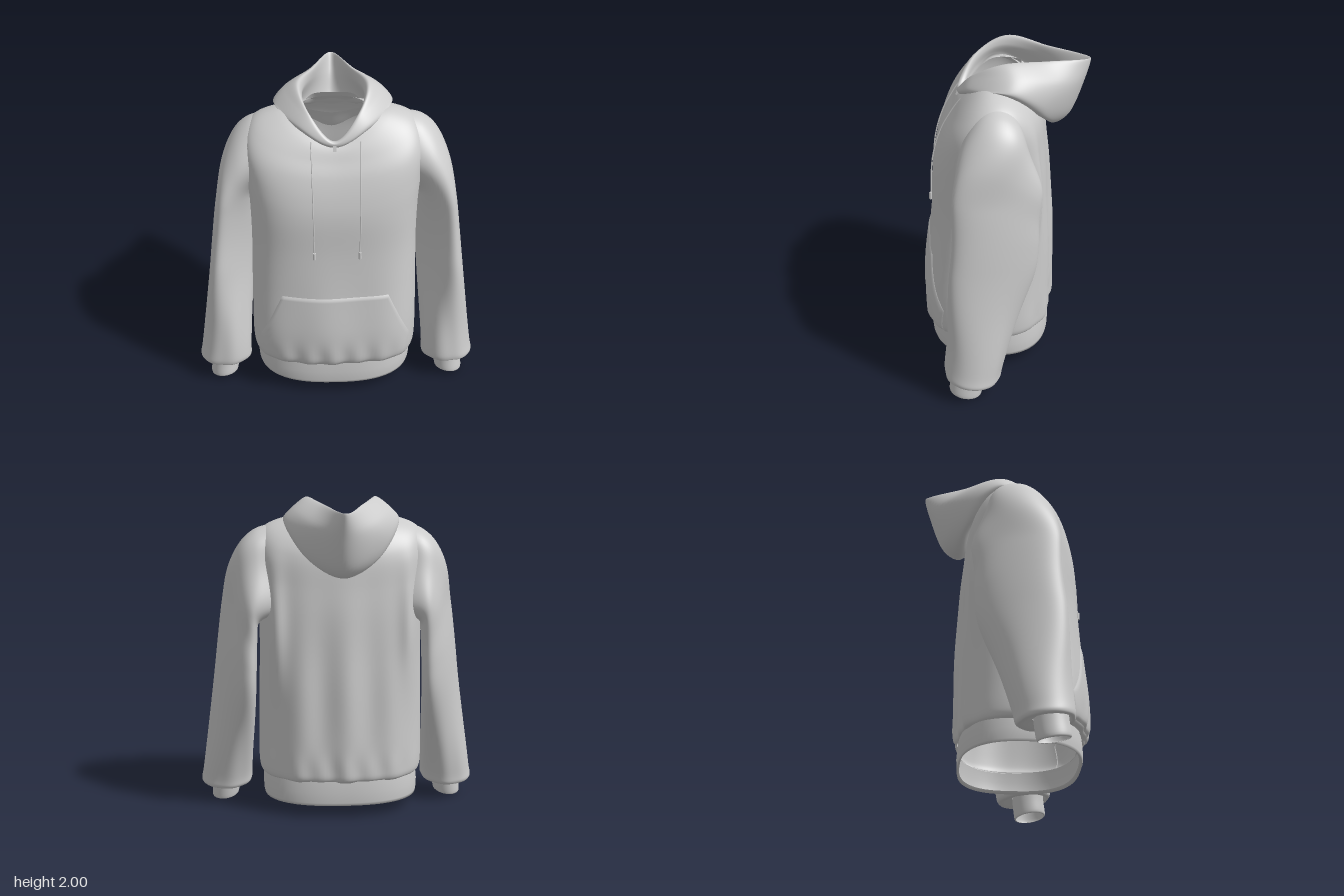
import * as THREE from 'three';

const V = (x, y, z) => new THREE.Vector3(x, y, z);
const { lerp, smoothstep, mapLinear, clamp } = THREE.MathUtils;
const material = new THREE.MeshStandardMaterial({ color: 0xcccccc, side: THREE.DoubleSide });
const spline = (pts, closed = false) =>
  new THREE.CatmullRomCurve3(pts.map((p) => V(...p)), closed, 'catmullrom', 0.5);
const bump = (x, c, s) => Math.exp(-(((x - c) / s) ** 2));
const range = (n, f) => Array.from({ length: n }, (_, i) => f(i));

function part(name, geometry) {
  const m = new THREE.Mesh(geometry, material);
  m.name = name;
  return m;
}

// Skin a list of rows of points; closed joins each row end to its start
function loft(name, rows, closed = true) {
  const n = rows[0].length, pos = [], idx = [];
  rows.forEach((r) => r.forEach((p) => pos.push(p.x, p.y, p.z)));
  for (let i = 0; i < rows.length - 1; i++) {
    for (let j = 0; j < (closed ? n : n - 1); j++) {
      const k = (j + 1) % n;
      const a = i * n + j, b = i * n + k, c = a + n, d = b + n;
      idx.push(a, c, b, b, c, d);
    }
  }
  const g = new THREE.BufferGeometry();
  g.setAttribute('position', new THREE.Float32BufferAttribute(pos, 3));
  g.setIndex(idx);
  g.computeVertexNormals();
  return part(name, g);
}

// Torso rings from hem to neck: half width, front z, back z / side y, front y, back y
const torsoSize = spline([
  [0.485, 0.455, -0.275], [0.51, 0.48, -0.295], [0.52, 0.498, -0.3], [0.52, 0.5, -0.3],
  [0.515, 0.47, -0.295], [0.51, 0.45, -0.285], [0.515, 0.44, -0.275], [0.53, 0.415, -0.26],
  [0.54, 0.37, -0.245], [0.485, 0.32, -0.22], [0.35, 0.285, -0.17], [0.2, 0.25, -0.11],
]);
const torsoHeight = spline([
  [0.23, 0.23, 0.23], [0.255, 0.255, 0.255], [0.32, 0.32, 0.32], [0.5, 0.5, 0.5],
  [0.8, 0.8, 0.8], [1.05, 1.05, 1.05], [1.3, 1.28, 1.28], [1.5, 1.42, 1.45],
  [1.69, 1.55, 1.6], [1.805, 1.64, 1.69], [1.865, 1.7, 1.79], [1.88, 1.74, 1.86],
]);
const roundness = (v, front) => lerp(front ? 3.1 : 2.5, 2, smoothstep(v, 0.65, 1));

// Soft vertical folds, gathers just above the hem, and fullness over the shoulder blades
function fold(x, y, front) {
  const gathers = 0.009 * bump(y, 0.3, 0.1) * Math.cos(x * 41 + 0.6);
  if (front) return gathers + 0.011 * bump(y, 0.5, 0.4) * Math.cos(13 * (x + 0.06));
  const blade = 0.18 * bump(Math.abs(x), 0.44, 0.07) * bump(y, 1.2, 0.35);
  return gathers + blade + 0.018 * bump(y, 0.75, 0.55) * Math.cos(21 * x + 0.5);
}

function torsoPoint(v, a) {
  const s = torsoSize.getPoint(v), h = torsoHeight.getPoint(v);
  const c = Math.cos(a), d = Math.sin(a), front = d > 0, n = roundness(v, front);
  const r = (Math.abs(c) ** n + Math.abs(d) ** n) ** (-1 / n);
  const x = s.x * c * r;
  const y = lerp(h.x, front ? h.y : h.z, d * d);
  const z = (s.y + s.z) / 2 + ((s.y - s.z) / 2) * d * r;
  return V(x, y, z + Math.sign(d) * d * d * fold(x, y, front));
}

// Point on the front of the torso at a given x and y, lifted by off
function onFront(x, y, off) {
  let lo = 0, hi = 1, p;
  for (let i = 0; i < 24; i++) {
    const v = (lo + hi) / 2, n = roundness(v, true);
    const u = Math.min(0.999, Math.abs(x) / torsoSize.getPoint(v).x);
    p = torsoPoint(v, Math.atan2((1 - u ** n) ** (1 / n), Math.sign(x) * u));
    if (p.y < y) lo = v; else hi = v;
  }
  return V(x, y, p.z + off);
}

function torso() {
  return loft('torso', range(89, (i) => range(144, (j) => torsoPoint(i / 88, (j / 144) * Math.PI * 2))));
}

// Ribbed waistband: a plain loop below the gathers
function waistband() {
  const ring = (w, zf, zb, y, tilt) => range(96, (j) => {
    const a = (j / 96) * Math.PI * 2, c = Math.cos(a), d = Math.sin(a);
    const r = (Math.abs(c) ** 2.6 + Math.abs(d) ** 2.6) ** (-1 / 2.6);
    return V(w * c * r, y + tilt * c * c, (zf + zb) / 2 + ((zf - zb) / 2) * d * r);
  });
  return loft('waistband', [
    ring(0.475, 0.445, -0.27, 0.1, 0.01), ring(0.488, 0.462, -0.283, 0.082, 0.01),
    ring(0.492, 0.468, -0.286, 0.1, 0.01), ring(0.495, 0.468, -0.288, 0.17, 0),
    ring(0.488, 0.46, -0.28, 0.24, 0),
  ]);
}

// Kangaroo pocket laid over the torso front
function pocket() {
  const rows = range(33, (i) => {
    const k = i / 32, y = 0.25 + 0.52 * k;
    const half = y < 0.42 ? mapLinear(y, 0.25, 0.42, 0.45, 0.47) : mapLinear(y, 0.42, 0.77, 0.47, 0.325);
    const lift = i === 32 || i === 0 ? -0.006 : 0.008;
    return range(43, (j) => {
      const f = clamp((j - 1) / 40, 0, 1);
      return onFront(half * (1 - 2 * f), y, j === 0 || j === 42 ? -0.006 : lift);
    });
  });
  return loft('pocket', rows, false);
}

// Tube whose rings run from an outer point (x, y, centre z) to an inner point (x, y, half depth)
function armTube(name, outer, inner, steps, tilt, shear, wrinkle) {
  const o = spline(outer), n = spline(inner);
  return loft(name, range(steps + 1, (i) => {
    const p = o.getPoint(i / steps), q = n.getPoint(i / steps);
    return range(64, (j) => {
      const a = (j / 64) * Math.PI * 2, c = Math.cos(a), d = Math.sin(a);
      const y = (p.y + q.y) / 2 + ((p.y - q.y) / 2) * c;
      const low = bump(y, 0.2, 0.35);
      const k = 1 + wrinkle * (Math.sin(3 * a + y * 5) * 0.6 + low * Math.sin(7 * a + 1) * 0.5);
      // The outer side swings forward along the arm
      const swing = shear * smoothstep(y, 0.15, 0.9) * (1 - smoothstep(y, 1.3, 1.75));
      return V(
        (p.x + q.x) / 2 + ((p.x - q.x) / 2) * c * (c > 0 ? 1 : k),
        y + tilt * q.z * d * low,
        p.z + q.z * d * k + swing * c);
    });
  }));
}

// Sleeve and cuff, rings listed from wrist to shoulder
function sleeve(name) {
  const g = new THREE.Group();
  g.name = name;
  g.add(armTube('sleeveFabric',
    [[0.81, 0.15, 0.21], [0.86, 0.125, 0.19], [0.885, 0.14, 0.185], [0.872, 0.22, 0.175], [0.835, 0.5, 0.12],
      [0.795, 0.82, 0.06], [0.765, 1.08, 0.035], [0.735, 1.32, 0.035], [0.695, 1.54, 0.035],
      [0.622, 1.7, 0.035], [0.53, 1.79, 0.035], [0.42, 1.828, 0.04]],
    [[0.63, 0.16, 0.1], [0.59, 0.13, 0.145], [0.555, 0.14, 0.17], [0.55, 0.22, 0.178], [0.535, 0.5, 0.197],
      [0.525, 0.76, 0.205], [0.52, 0.94, 0.2], [0.515, 1.08, 0.2], [0.51, 1.17, 0.215],
      [0.505, 1.22, 0.22], [0.48, 1.25, 0.21], [0.42, 1.28, 0.185]], 88, 0.12, 0.16, 0.035));
  g.add(armTube('cuff',
    [[0.805, 0.01, 0.225], [0.82, 0.02, 0.225], [0.812, 0.1, 0.215], [0.805, 0.17, 0.21]],
    [[0.655, 0.03, 0.09], [0.645, 0.04, 0.1], [0.64, 0.11, 0.1], [0.635, 0.17, 0.1]], 12, 0.2, 0, 0));
  return g;
}

// Hood: rails from neck seam, over the hanging bag and rim, into the bag and up to the inner neck.
// Each rail lists five points from front centre round the side to back centre.
function hood() {
  const rails = [
    [[0, 1.72, 0.255], [0.2, 1.8, 0.19], [0.3, 1.84, 0.04], [0.2, 1.75, -0.16], [0, 1.7, -0.19]],
    [[0, 1.72, 0.275], [0.215, 1.81, 0.2], [0.345, 1.86, 0], [0.22, 1.65, -0.24], [0, 1.54, -0.28]],
    [[0, 1.735, 0.285], [0.21, 1.835, 0.21], [0.355, 1.88, -0.04], [0.26, 1.74, -0.26], [0, 1.59, -0.4]],
    [[0, 1.75, 0.285], [0.175, 1.885, 0.19], [0.295, 1.945, -0.05], [0.19, 1.87, -0.33], [0, 1.82, -0.49]],
    [[0, 1.758, 0.27], [0.15, 1.9, 0.18], [0.215, 1.998, -0.01], [0.12, 1.975, -0.26], [0, 1.95, -0.52]],
    [[0, 1.75, 0.25], [0.14, 1.87, 0.17], [0.185, 1.95, 0], [0.11, 1.9, -0.27], [0, 1.85, -0.45]],
    [[0, 1.74, 0.245], [0.15, 1.83, 0.165], [0.2, 1.89, 0.02], [0.17, 1.77, -0.22], [0, 1.68, -0.36]],
    [[0, 1.735, 0.243], [0.155, 1.81, 0.162], [0.2, 1.87, 0.04], [0.14, 1.78, -0.16], [0, 1.74, -0.21]],
    [[0, 1.73, 0.245], [0.16, 1.8, 0.16], [0.19, 1.86, 0.06], [0.13, 1.88, -0.09], [0, 1.89, -0.1]],
  ].map((r) => spline([r[0], ...r.slice(1, 4).map(([x, y, z]) => [-x, y, z]), r[4], r[3], r[2], r[1]], true));
  const columns = range(112, (j) => {
    const profile = new THREE.CatmullRomCurve3(rails.map((r) => r.getPoint(j / 112)), false, 'catmullrom', 0.5);
    return range(65, (i) => profile.getPoint(i / 64));
  });
  return loft('hood', range(65, (i) => columns.map((c) => c[i])));
}

// Drawstring with a tipped end
function drawstring(name, top, bottom) {
  const g = new THREE.Group();
  g.name = name;
  const pts = range(12, (i) => {
    const k = i / 11;
    return onFront(lerp(top, bottom, k ** 0.7), lerp(1.75, 1.09, k), 0.006);
  });
  g.add(part('cord', new THREE.TubeGeometry(new THREE.CatmullRomCurve3(pts), 40, 0.004, 8)));
  const tip = part('cordTip', new THREE.CylinderGeometry(0.009, 0.01, 0.045, 12));
  tip.position.copy(pts[11]).add(V(0, -0.02, 0.004));
  g.add(tip);
  return g;
}

export function createModel() {
  const model = new THREE.Group();
  model.name = 'hoodie';
  const left = sleeve('leftSleeve'), right = sleeve('rightSleeve');
  right.scale.x = -1;

  // The body hangs slightly to its right
  const body = new THREE.Group();
  body.name = 'body';
  body.position.x = -0.014;
  body.add(torso(), waistband(), pocket(), hood());
  body.add(drawstring('leftDrawstring', 0.158, 0.149), drawstring('rightDrawstring', -0.14, -0.127));

  // Small stitched tab at the base of the neck opening
  const tab = part('neckTab', new THREE.BoxGeometry(0.02, 0.05, 0.012));
  tab.position.set(0, 1.725, 0.283);
  tab.rotation.x = -0.3;
  body.add(tab);
  model.add(body, left, right);
  return model;
}
